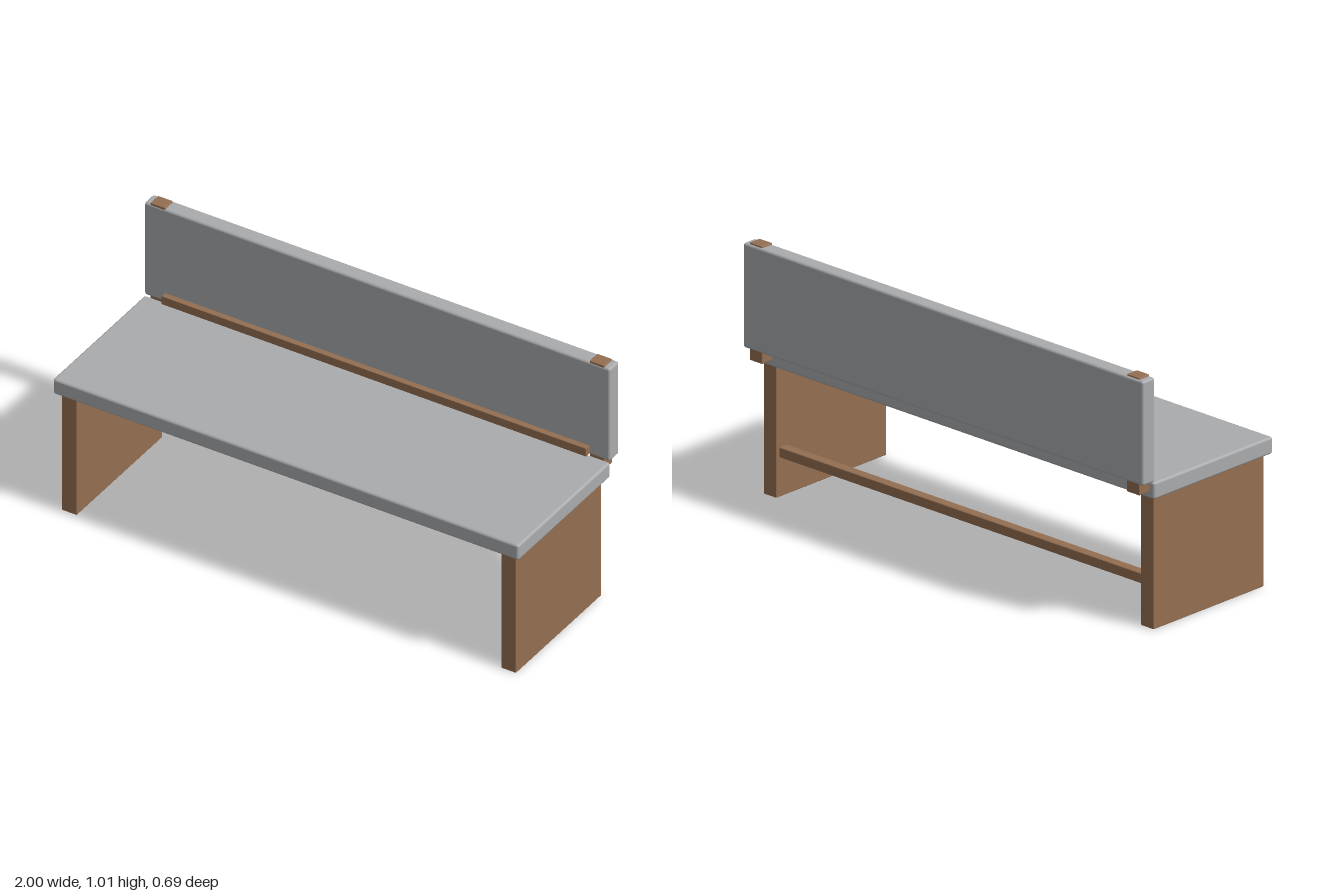
import * as THREE from 'three';
import { RoundedBoxGeometry } from 'three/addons/geometries/RoundedBoxGeometry.js';

export function createModel() {
  const model = new THREE.Group();
  model.name = 'bench';

  const upholstery = new THREE.MeshStandardMaterial({ color: 0xa9abad });
  upholstery.name = 'grey upholstery';
  const wood = new THREE.MeshStandardMaterial({ color: 0x946f52 });
  wood.name = 'brown wood';

  // Soft-edged block given by its extents on each axis
  function block(name, material, [x0, x1], [y0, y1], [z0, z1], radius) {
    const geometry = new RoundedBoxGeometry(x1 - x0, y1 - y0, z1 - z0, 3, radius);
    const mesh = new THREE.Mesh(geometry, material);
    mesh.position.set((x0 + x1) / 2, (y0 + y1) / 2, (z0 + z1) / 2);
    mesh.name = name;
    model.add(mesh);
  }

  // Cushions
  block('seat', upholstery, [-1, 1], [0.52, 0.587], [-0.285, 0.345], 0.01);
  block('backrest', upholstery, [-1, 1], [0.59, 1.0], [-0.345, -0.281], 0.01);

  // Slab legs and the posts running through the backrest
  for (const [side, x] of [['left', 0.943], ['right', -0.943]]) {
    const span = [x - 0.032, x + 0.032];
    block(side + 'Leg', wood, span, [0, 0.52], [-0.262, 0.322], 0.003);
    block(side + 'BackPost', wood, span, [0.545, 1.006], [-0.337, -0.283], 0.004);
  }

  // Long rails: one along the foot of the backrest, one between the legs
  block('backRail', wood, [-0.912, 0.912], [0.593, 0.63], [-0.286, -0.258], 0.003);
  block('stretcher', wood, [-0.912, 0.912], [0.155, 0.195], [-0.247, -0.207], 0.004);

  return model;
}
